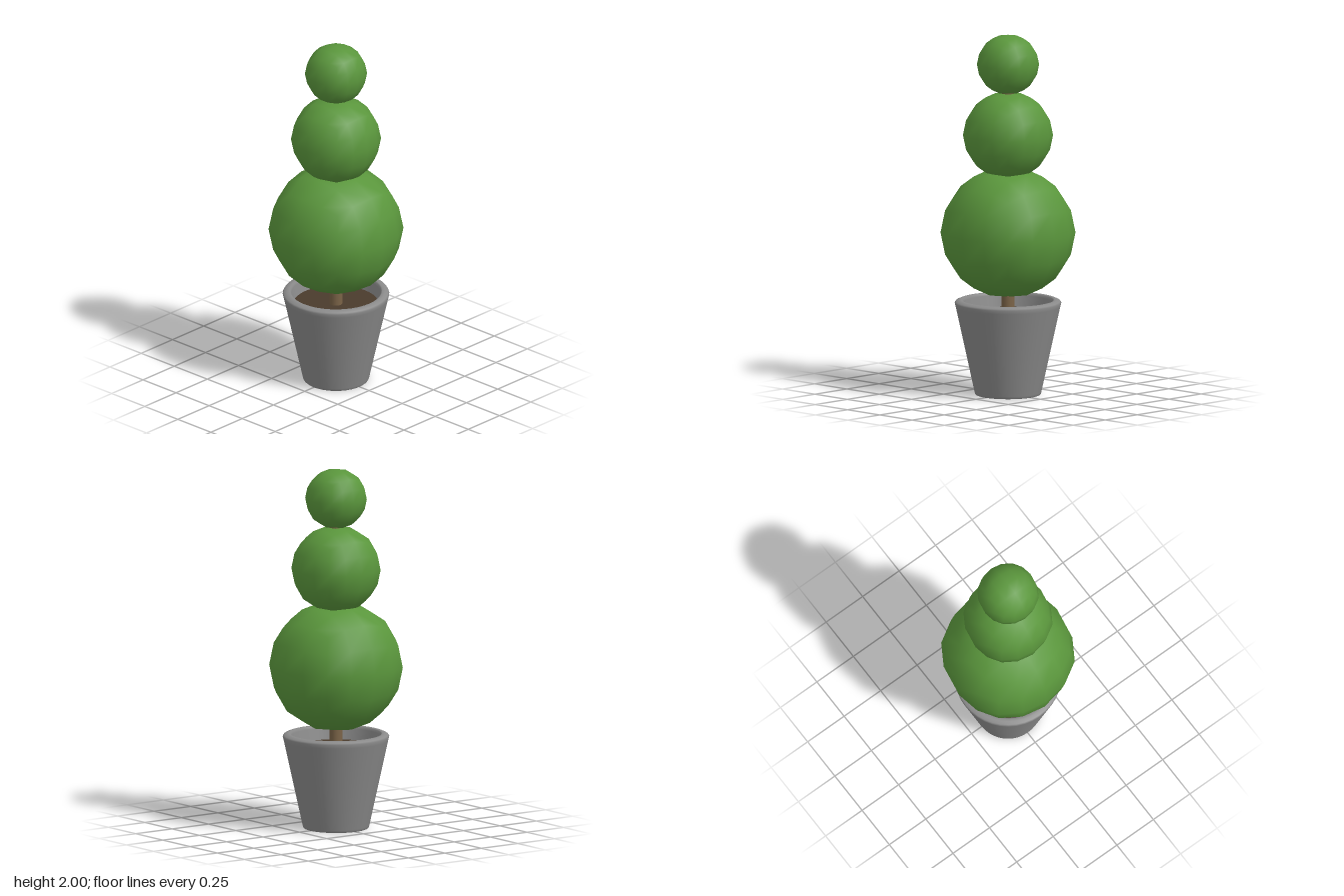
import * as THREE from 'three';
import { mergeVertices } from 'three/addons/utils/BufferGeometryUtils.js';

const mat = (name, color, extra) => {
  const m = new THREE.MeshStandardMaterial({ color, ...extra });
  m.name = name;
  return m;
};

// Rounded cube: a 4x4x4 grid box relaxed as a twice-subdivided cube.
// Key = count of full-size and half-size coordinates; value = their new sizes.
const RELAX = {
  '1,0': [0.878, 0], '1,1': [0.82, 0.35], '1,2': [0.764, 0.326],
  '2,0': [0.643, 0], '2,1': [0.599, 0.302], '3,0': [0.509, 0],
};

function ballGeometry(radius) {
  let g = new THREE.BoxGeometry(2, 2, 2, 4, 4, 4);
  g.deleteAttribute('normal');
  g.deleteAttribute('uv');
  g = mergeVertices(g);
  const p = g.attributes.position;
  for (let i = 0; i < p.count; i++) {
    const c = [p.getX(i), p.getY(i), p.getZ(i)];
    const level = c.map((v) => Math.round(Math.abs(v) * 2));
    const full = level.filter((l) => l === 2).length;
    const half = level.filter((l) => l === 1).length;
    const [a, b] = RELAX[`${full},${half}`];
    const q = c.map((v, k) => Math.sign(v) * [0, b, a][level[k]] * radius / 0.878);
    p.setXYZ(i, ...q);
  }
  g.computeVertexNormals();
  return g;
}

export function createModel() {
  const model = new THREE.Group();
  model.name = 'pottedTopiary';

  const leaf = mat('leafGreen', 0x5a963c);
  const stone = mat('potGrey', 0x8a8a8a);
  const earth = mat('soilBrown', 0x4a3b2c);
  const bark = mat('barkBrown', 0x7a6347);

  const add = (name, geometry, material, y = 0) => {
    const m = new THREE.Mesh(geometry, material);
    m.name = name;
    m.position.y = y;
    model.add(m);
    return m;
  };

  // Clipped foliage balls, largest at the bottom
  add('lowerFoliage', ballGeometry(0.358), leaf, 0.9);
  add('middleFoliage', ballGeometry(0.239), leaf, 1.442);
  add('topFoliage', ballGeometry(0.165), leaf, 1.835);

  // Trunk from the soil into the foliage
  add('trunk', new THREE.CylinderGeometry(0.036, 0.036, 1.3, 16), bark, 1.05);

  // Hollow tapered pot: recessed base, outer wall, rounded rim, inner wall
  const profile = [
    [0, 0.02], [0.155, 0.02], [0.163, 0.018], [0.166, 0.003], [0.17, 0],
    [0.177, 0], [0.181, 0.004], [0.184, 0.015], [0.288, 0.49], [0.293, 0.51],
    [0.287, 0.519], [0.27, 0.526], [0.255, 0.527], [0.248, 0.522],
    [0.245, 0.51], [0.225, 0.41],
  ].map(([x, y]) => new THREE.Vector2(x, y));
  add('pot', new THREE.LatheGeometry(profile, 40), stone);

  // Soil surface inside the pot
  add('soil', new THREE.CylinderGeometry(0.235, 0.229, 0.03, 40), earth, 0.435);

  return model;
}
